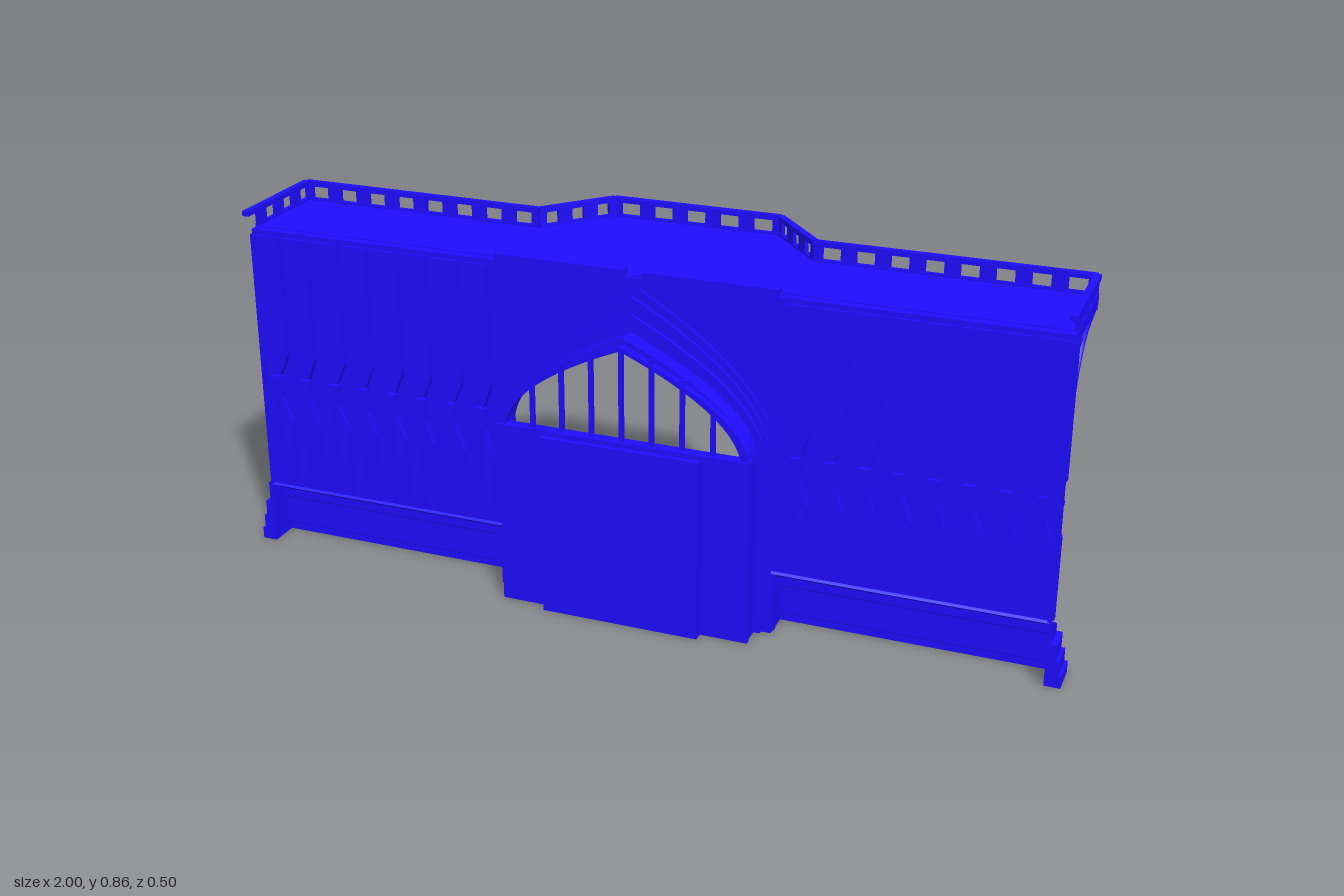
import * as THREE from 'three';

const mat = new THREE.MeshStandardMaterial({ color: 0x1e0cff, side: THREE.DoubleSide });
const V = (x, y, z) => new THREE.Vector3(x, y, z);

function add(parent, name, geo) {
  const m = new THREE.Mesh(geo, mat);
  m.name = name;
  parent.add(m);
  return m;
}
// box from its limits
function box(parent, name, x0, x1, y0, y1, z0, z1) {
  const m = add(parent, name, new THREE.BoxGeometry(x1 - x0, y1 - y0, z1 - z0));
  m.position.set((x0 + x1) / 2, (y0 + y1) / 2, (z0 + z1) / 2);
}
// flat outline [x, y] extruded between two depths
function plate(parent, name, pts, z0, z1) {
  const shape = new THREE.Shape(pts.map(p => new THREE.Vector2(p[0], p[1])));
  const g = new THREE.ExtrudeGeometry(shape, { depth: z1 - z0, bevelEnabled: false });
  return add(parent, name, g.translate(0, 0, z0));
}
// outline [z, y] extruded along x
function sidePlate(parent, name, pts, x0, x1) {
  plate(parent, name, pts.map(p => [-p[0], p[1]]), x0, x1).rotation.y = Math.PI / 2;
}
function rib(parent, name, pts, r, segs = 14) {
  const curve = pts.length === 2 ? new THREE.LineCurve3(...pts) : new THREE.CatmullRomCurve3(pts);
  add(parent, name, new THREE.TubeGeometry(curve, pts.length === 2 ? 1 : segs, r, 5));
}
// ring lying under the gallery floor
function flatRing(parent, name, r, t, x, y, z) {
  const m = add(parent, name, new THREE.TorusGeometry(r, t, 5, 28));
  m.rotation.x = Math.PI / 2;
  m.position.set(x, y, z);
}
// beam in plan between two [x, z] points
function beam(parent, name, a, b, y0, y1, t) {
  const dx = b[0] - a[0], dz = b[1] - a[1], len = Math.hypot(dx, dz);
  const m = add(parent, name, new THREE.BoxGeometry(len, y1 - y0, t));
  m.position.set((a[0] + b[0]) / 2, (y0 + y1) / 2, (a[1] + b[1]) / 2);
  m.rotation.y = -Math.atan2(dz, dx);
}
// pointed arch with jambs, right foot to left foot
function arch(w, spring, apex, foot = 0, cx = 0) {
  const right = new THREE.QuadraticBezierCurve(
    new THREE.Vector2(w, spring), new THREE.Vector2(w * 0.93, (spring + apex) / 2), new THREE.Vector2(0, apex)
  ).getPoints(12).map(p => [p.x, p.y]);
  const left = right.slice(0, -1).reverse().map(p => [-p[0], p[1]]);
  return [[w, foot], ...right, ...left, [-w, foot]].map(p => [p[0] + cx, p[1]]);
}
function archRing(parent, name, outer, inner, z0, z1) {
  plate(parent, name, [...arch(...outer), ...arch(...inner).reverse()], z0, z1);
}

const BAY = 0.155, COL = BAY / 2, START = 0.345;

// one panelled wall with plinth; s is the side
function sideWall(s) {
  const g = new THREE.Group();
  g.name = s > 0 ? 'leftWall' : 'rightWall';
  const span = (a, b) => [Math.min(s * a, s * b), Math.max(s * a, s * b)];
  const bx = (n, a, b, ...r) => box(g, n, ...span(a, b), ...r);

  // stepped plinth, a shell open to the front with closed ends
  const steps = [[0.088, 0], [0.088, 0.023], [0.095, 0.028], [0.095, 0.06], [0.1, 0.063], [0.1, 0.1], [0.105, 0.104], [0.105, 0.125], [0.16, 0.158]];
  const inside = steps.map(p => [p[0] + 0.005, Math.max(0, p[1] - 0.005)]).reverse();
  sidePlate(g, 'plinthShell', [...steps, ...inside], ...span(0.335, 0.97));
  sidePlate(g, 'plinthInnerEnd', [...steps, [0.163, 0]], ...span(0.325, 0.338));
  sidePlate(g, 'plinthEndCap', [...steps, [0.165, 0.158], [0.165, 0]], ...span(0.963, 0.972));
  bx('plinthEndFoot', 0.968, 1.0, 0, 0.028, 0.088, 0.165);
  bx('plinthEndStep', 0.968, 0.993, 0.028, 0.063, 0.095, 0.165);
  bx('plinthEndBlock', 0.968, 0.985, 0.063, 0.104, 0.1, 0.165);

  bx('wallCore', 0.335, 0.967, 0.15, 0.8, 0.14, 0.149);
  bx('wallEnd', 0.96, 0.967, 0.15, 0.8, 0.128, 0.163);

  for (let i = 0; i <= 8; i++) {
    const x = START + i * COL, h = 0.012;
    // mullion carrying a lozenge
    bx('mullion', x - 0.006, x + 0.006, 0.48, 0.79, 0.127, 0.142);
    bx('lowerMullion', x - 0.005, x + 0.005, 0.15, 0.35, 0.127, 0.142);
    const k = 0.028;
    const pts = [[0, 0.335], [k, 0.385], [k, 0.45], [0, 0.5], [-k, 0.45], [-k, 0.385]].map(p => V(s * x + p[0], p[1], 0.135));
    pts.forEach((p, j) => {
      const out = (j < 3 ? 1 : -1) * s;
      if ((i === 8 && out > 0) || (i === 0 && out < 0)) return;
      rib(g, 'lozengeRib', [p, pts[(j + 1) % 6]], 0.005);
    });
    if (i === 8) break;

    // raised panels showing on the front
    const c = s * (x + COL / 2), w = COL / 2 - (i % 2 ? 0.005 : 0.009);
    plate(g, 'upperPanel', [[c - w, 0.8], [c - w, 0.5], [c - h, 0.45], [c + h, 0.45], [c + w, 0.5], [c + w, 0.8]], 0.147, 0.163);
    plate(g, 'lowerPanel', [[c - w, 0.16], [c - 0.003, 0.16], [c - 0.003, 0.4], [c + 0.003, 0.4], [c + 0.003, 0.16], [c + w, 0.16],
      [c + w, 0.33], [c + h, 0.39], [c + h, 0.445], [c - h, 0.445], [c - h, 0.39], [c - w, 0.33]], 0.147, 0.162);
    // lancet heads and thin shafts on the carved side
    bx('thinShaft', x + COL / 2 - 0.003, x + COL / 2 + 0.003, 0.15, 0.4, 0.13, 0.142);
    for (const q of [-1, 1])
      archRing(g, 'lancetHead', [0.018, 0.3, 0.34, 0.28, c + q * COL / 4], [0.014, 0.3, 0.33, 0.28, c + q * COL / 4], 0.132, 0.142);
    archRing(g, 'upperLancet', [0.034, 0.7, 0.775, 0.5, c], [0.029, 0.7, 0.76, 0.5, c], 0.133, 0.142);
  }

  // curved brackets and gallery vault
  for (let i = 0; i <= 4; i++) {
    const x = s * (START + i * BAY - (i === 4 ? 0.006 : 0));
    rib(g, 'bracketShaft', [V(x, 0.14, 0.128), V(x, 0.43, 0.128)], 0.005);
    add(g, 'corbel', new THREE.CylinderGeometry(0.01, 0.005, 0.025, 8)).position.set(x, 0.415, 0.127);
    rib(g, 'bracketRib', [V(x, 0.42, 0.127), V(x, 0.54, 0.124), V(x, 0.64, 0.106), V(x, 0.72, 0.062), V(x, 0.765, 0), V(x, 0.784, -0.09)], 0.0075, 20);
    rib(g, 'bracketCusp', [V(x, 0.72, 0.128), V(x, 0.735, 0.11), V(x, 0.76, 0.09), V(x, 0.788, 0.115)], 0.003);
    rib(g, 'bracketCusp', [V(x, 0.785, 0.115), V(x, 0.758, 0.08), V(x, 0.755, 0.045), V(x, 0.775, 0)], 0.003);
    rib(g, 'bracketCusp', [V(x, 0.73, 0.125), V(x, 0.715, 0.1), V(x, 0.695, 0.085)], 0.003);
    if (i === 4) break;
    const x2 = s * (START + (i + 1) * BAY), m = (x + x2) / 2, y = 0.788;
    for (const [a, b] of [[x, x2], [x2, x]]) rib(g, 'vaultDiagonal', [V(a, y, -0.09), V(b, y, 0.12)], 0.006);
    rib(g, 'vaultRidge', [V(m, y, -0.09), V(m, y, 0.12)], 0.005);
    rib(g, 'vaultCross', [V(x, y, 0.015), V(x2, y, 0.015)], 0.005);
    flatRing(g, 'vaultRing', 0.045, 0.005, m, y, 0.015);
  }
  return g;
}

function portal() {
  const g = new THREE.Group();
  g.name = 'portal';
  // wall above the arch
  plate(g, 'spandrelWall', [[0.34, 0], [0.34, 0.815], [-0.34, 0.815], [-0.34, 0], ...arch(0.325, 0.45, 0.77).reverse()], 0.134, 0.15);
  // stepped arch mouldings
  archRing(g, 'archHood', [0.338, 0.45, 0.795], [0.322, 0.45, 0.768], 0.122, 0.156);
  archRing(g, 'archMoulding', [0.325, 0.45, 0.77], [0.308, 0.45, 0.728], 0.138, 0.164);
  archRing(g, 'archStep', [0.315, 0.45, 0.732], [0.297, 0.45, 0.69], 0.155, 0.173);
  archRing(g, 'archReveal', [0.3, 0.45, 0.692], [0.289, 0.45, 0.677], 0.165, 0.217);
  archRing(g, 'archFrame', [0.303, 0.45, 0.678, 0.43], [0.283, 0.45, 0.668, 0.43], 0.215, 0.235);

  for (const s of [-1, 1]) {
    box(g, 'upperStrip', s > 0 ? 0.02 : -0.335, s > 0 ? 0.335 : -0.02, 0.81, 0.828, 0.135, 0.158);
    // carved stems in the spandrels, on the gallery side
    rib(g, 'spandrelStem', [V(s * 0.325, 0.58, 0.134), V(s * 0.29, 0.69, 0.134), V(s * 0.2, 0.76, 0.134)], 0.004);
    rib(g, 'spandrelStem', [V(s * 0.325, 0.77, 0.134), V(s * 0.27, 0.7, 0.134), V(s * 0.23, 0.69, 0.134)], 0.004);
  }

  // window bars above the doors
  const top = arch(0.288, 0.45, 0.676);
  for (let i = -3; i <= 3; i++) {
    const x = i * 0.072;
    const k = top.findIndex(p => p[0] <= Math.abs(x) + 1e-6);
    box(g, 'windowBar', x - 0.005, x + 0.005, 0.44, top[k][1], 0.222, 0.232);
  }
  box(g, 'transom', -0.305, 0.305, 0.432, 0.452, 0.212, 0.24);

  // doors
  box(g, 'doorPanel', -0.303, 0.303, 0, 0.442, 0.217, 0.228);
  box(g, 'doorFace', -0.19, 0.19, 0, 0.44, 0.226, 0.252);
  for (const s of [-1, 1]) {
    const c = s * 0.14;
    archRing(g, 'doorArch', [0.09, 0.33, 0.425, 0.18, c], [0.08, 0.33, 0.41, 0.18, c], 0.209, 0.22);
    for (const q of [-1, 1]) {
      archRing(g, 'doorLancet', [0.038, 0.3, 0.35, 0.18, c + q * 0.04], [0.031, 0.3, 0.34, 0.18, c + q * 0.04], 0.212, 0.22);
      box(g, 'doorLowerPanel', c + q * 0.05 - 0.038, c + q * 0.05 + 0.038, 0.03, 0.14, 0.213, 0.22);
    }
    add(g, 'doorRose', new THREE.TorusGeometry(0.022, 0.004, 5, 16)).position.set(c, 0.37, 0.216);
    box(g, 'doorRail', c - 0.13, c + 0.13, 0.155, 0.175, 0.21, 0.22);
  }
  box(g, 'doorMeeting', -0.008, 0.008, 0, 0.44, 0.208, 0.22);
  return g;
}

function gallery() {
  const g = new THREE.Group();
  g.name = 'gallery';
  const path = [[-0.962, 0.135], [-0.962, -0.095], [-0.338, -0.095], [-0.207, -0.244], [0.207, -0.244], [0.338, -0.095], [0.962, -0.095], [0.962, 0.135]];
  // floor slab
  const floor = plate(g, 'floor', path.map(p => [p[0], -p[1]]), 0.795, 0.814);
  floor.rotation.x = -Math.PI / 2;
  box(g, 'wallPlate', -0.965, 0.965, 0.79, 0.812, 0.13, 0.157);

  // pierced parapet
  for (let i = 0; i < path.length - 1; i++) {
    const a = path[i], b = path[i + 1];
    const at = t => [a[0] + (b[0] - a[0]) * t, a[1] + (b[1] - a[1]) * t];
    const len = Math.hypot(b[0] - a[0], b[1] - a[1]), n = Math.round(len / 0.078), h = 0.018 / len;
    const shift = i === 0 ? h : i === path.length - 2 ? -h : 0; // full post at the wall end
    beam(g, 'edgeBeam', a, b, 0.79, 0.819, 0.012);
    beam(g, 'edgeMoulding', a, b, 0.785, 0.791, 0.006);
    for (let j = 0; j <= n; j++) {
      const t = j / n + shift;
      beam(g, 'parapetPost', at(Math.min(0.98, Math.max(0, t - h))), at(Math.max(0.02, Math.min(1, t + h))), 0.818, 0.852, 0.009);
    }
    const end = p => [p[0], p[1] > 0 ? 0.183 : p[1]];
    beam(g, 'handrail', end(a), end(b), 0.85, 0.862, 0.016);
  }

  // fan vault and pendant under the projecting middle
  const py = 0.788, pz = -0.05;
  const rim = [[-0.338, 0.12], [-0.17, 0.12], [0, 0.12], [0.17, 0.12], [0.338, 0.12], [0.338, 0.01], [0.338, -0.095], [0.27, -0.17],
    [0.207, -0.24], [0.1, -0.24], [0, -0.24], [-0.1, -0.24], [-0.207, -0.24], [-0.27, -0.17], [-0.338, -0.095], [-0.338, 0.01]];
  rim.forEach(p => rib(g, 'fanRib', [V(0, py, pz), V(p[0], py, p[1])], 0.006));
  for (const r of [0.05, 0.11, 0.17]) flatRing(g, 'fanRing', r, 0.006, 0, py, pz);
  beam(g, 'vaultBeam', [-0.338, -0.095], [0.338, -0.095], 0.782, 0.796, 0.014);
  for (const s of [-1, 1]) {
    beam(g, 'vaultBeam', [s * 0.338, 0.13], [s * 0.338, -0.095], 0.782, 0.796, 0.014);
    flatRing(g, 'cornerRing', 0.045, 0.005, s * 0.255, py, 0.02);
  }
  for (let i = 0; i < 8; i++) {
    const a = i * Math.PI / 4, p = (r, y) => V(Math.cos(a) * r, y, pz + Math.sin(a) * r);
    rib(g, 'pendantRib', [p(0.009, 0.7), p(0.014, 0.735), p(0.025, 0.765), p(0.045, 0.787)], 0.004);
  }
  const prof = [[0, 0.667], [0.012, 0.667], [0.013, 0.674], [0.008, 0.68], [0.011, 0.697], [0.017, 0.7], [0.017, 0.707], [0.009, 0.712], [0.01, 0.74], [0.014, 0.77], [0.02, 0.79]];
  add(g, 'pendant', new THREE.LatheGeometry(prof.map(p => new THREE.Vector2(...p)), 12)).position.z = pz;
  return g;
}

export function createModel() {
  const model = new THREE.Group();
  model.name = 'galleryScreen';
  model.add(sideWall(1), sideWall(-1), portal(), gallery());
  return model;
}
